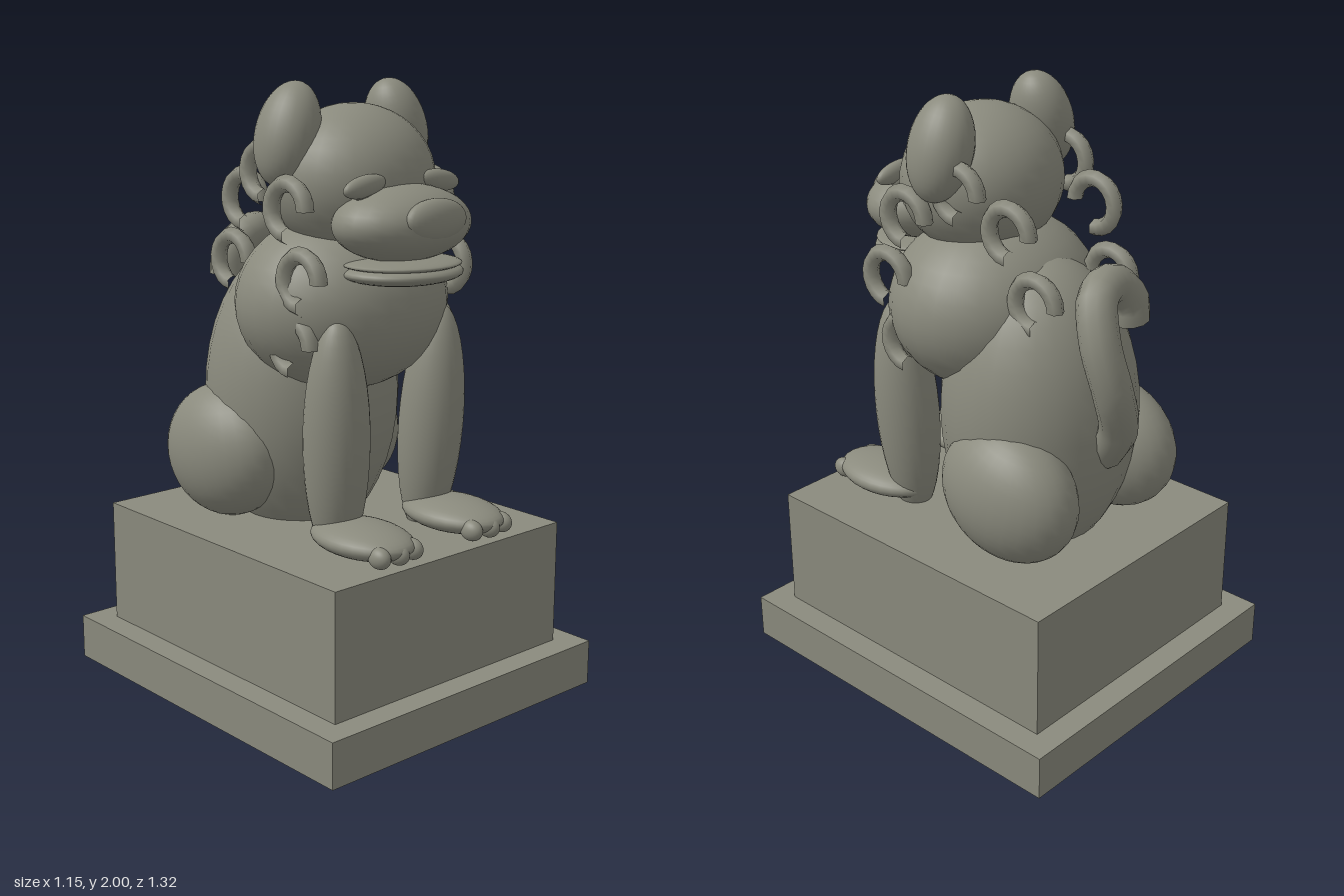
import * as THREE from 'three';

const stone = new THREE.MeshStandardMaterial({ color: 0x8a8a7d });
stone.name = 'grey stone';

export function createModel() {
  const model = new THREE.Group();
  model.name = 'guardianLionStatue';

  function add(name, geometry, pos = [0, 0, 0], rot = [0, 0, 0]) {
    const mesh = new THREE.Mesh(geometry, stone);
    mesh.name = name;
    mesh.position.set(...pos);
    mesh.rotation.set(...rot);
    model.add(mesh);
    return mesh;
  }
  // Ellipsoid from centre, radii and rotation
  function blob(name, pos, radii, rot) {
    return add(name, new THREE.SphereGeometry(1, 28, 20).scale(...radii), pos, rot);
  }

  // Stepped plinth
  add('plinthBase', new THREE.BoxGeometry(1.15, 0.15, 1.32), [0, 0.075, 0]);
  add('plinthBlock', new THREE.BoxGeometry(0.98, 0.415, 1.15), [0, 0.3575, 0]);

  // Torso and head
  blob('body', [0, 0.97, -0.145], [0.33, 0.52, 0.32]);
  blob('chest', [0, 1.3, 0.055], [0.365, 0.29, 0.32]);
  blob('head', [0, 1.69, 0.105], [0.275, 0.24, 0.25]);
  blob('muzzle', [0, 1.575, 0.33], [0.245, 0.12, 0.18]);
  blob('nose', [0, 1.595, 0.475], [0.125, 0.066, 0.045]);
  blob('upperLip', [0, 1.452, 0.33], [0.2, 0.022, 0.175]);
  blob('lowerJaw', [0, 1.425, 0.33], [0.205, 0.04, 0.18]);

  for (const s of [1, -1]) {
    const side = s > 0 ? 'left' : 'right';
    blob(side + 'Brow', [s * 0.158, 1.695, 0.332], [0.084, 0.034, 0.027], [0, 0, -s * 0.15]);
    blob(side + 'Eye', [s * 0.14, 1.665, 0.325], [0.045, 0.025, 0.025]);
    blob(side + 'Ear', [s * 0.23, 1.84, 0.06], [0.095, 0.165, 0.108], [0, 0, s * 0.3]);
    blob(side + 'Haunch', [s * 0.25, 0.785, -0.24], [0.165, 0.225, 0.255], [-0.2, 0, 0]);
    blob(side + 'FrontLeg', [s * 0.207, 0.9, 0.262], [0.105, 0.395, 0.108], [0.05, 0, -s * 0.04]);
    blob(side + 'Paw', [s * 0.2, 0.615, 0.375], [0.132, 0.053, 0.195]);
    for (const t of [-1, 0, 1])
      blob(side + 'Toe', [s * 0.2 + t * 0.068, 0.603, t ? 0.525 : 0.535], [0.029, 0.034, 0.042]);
  }

  // Mane curls: [x, y, z] of each three-quarter ring
  const curls = [
    [0.3, 1.62, 0.145], [0.312, 1.41, 0.22], [0.295, 1.2, 0.16],
    [0.2, 1.62, -0.19], [0.18, 1.41, -0.28], [0.25, 1.72, -0.03],
  ];
  for (const s of [1, -1])
    for (const [x, y, z] of curls)
      add('maneCurl', new THREE.TorusGeometry(0.08, 0.028, 6, 14, Math.PI * 1.5),
        [s * x, y, z], [0, s * Math.PI / 2, 0]);

  // Tail, rising from the rump and hooking over at the top
  const path = new THREE.CatmullRomCurve3([
    [0, 0.9, -0.42], [0.05, 1.03, -0.51], [0.12, 1.18, -0.54], [0.145, 1.34, -0.505],
    [0.1, 1.46, -0.455], [0, 1.47, -0.43], [-0.075, 1.4, -0.435], [-0.085, 1.33, -0.435],
  ].map(p => new THREE.Vector3(...p)));
  const R = 0.063;
  add('tail', new THREE.TubeGeometry(path, 28, R, 12));
  const end = path.getPoint(1), dir = path.getTangent(1);
  const cap = add('tailTip', new THREE.CircleGeometry(R, 12), end.toArray());
  cap.quaternion.setFromUnitVectors(new THREE.Vector3(0, 0, 1), dir);

  return model;
}
